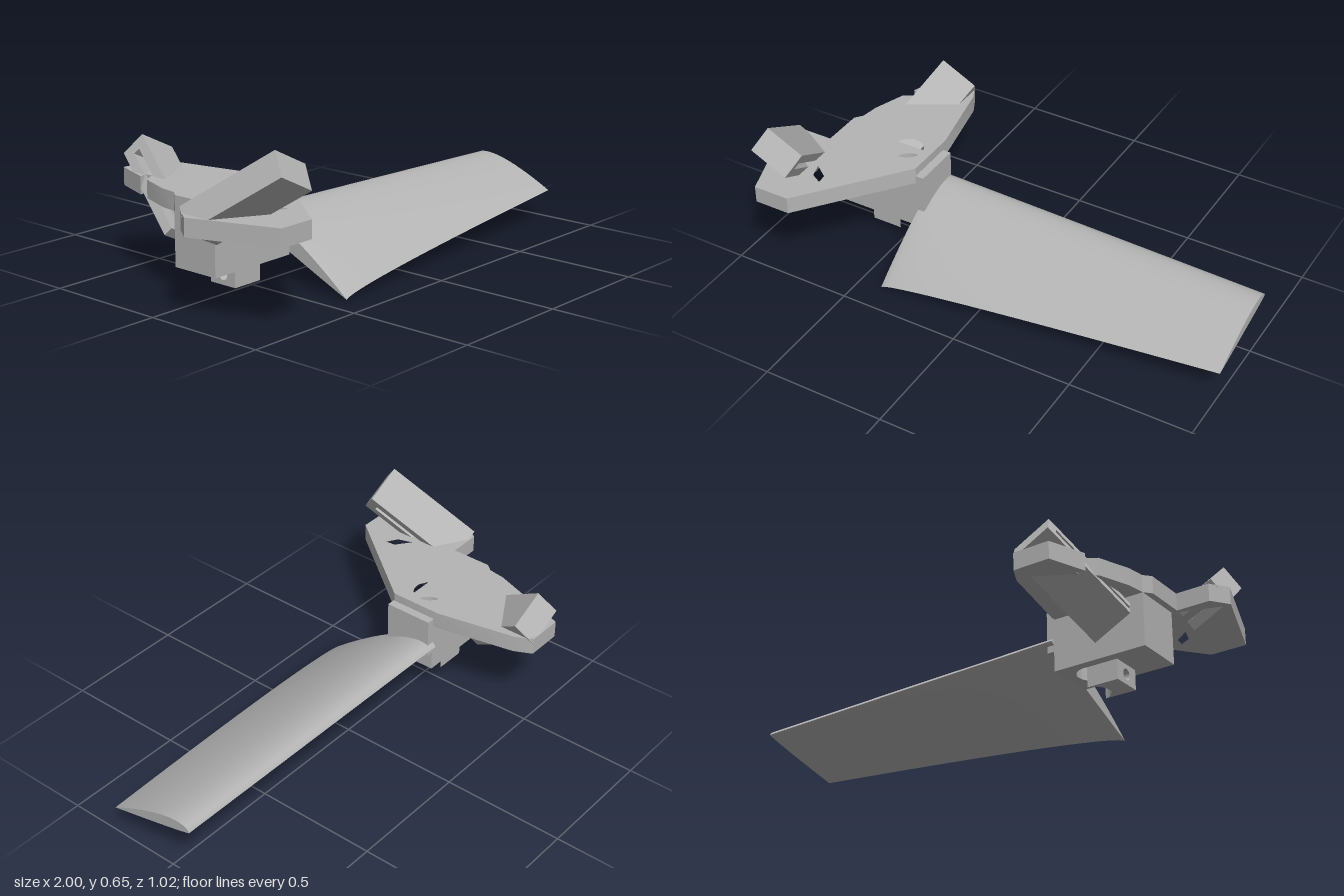
import * as THREE from 'three';
import { toCreasedNormals } from 'three/addons/utils/BufferGeometryUtils.js';

const V = (x, y, z) => new THREE.Vector3(x, y, z);

export function createModel() {
  const model = new THREE.Group();
  const grey = new THREE.MeshStandardMaterial({ color: 0xb4b4b4 });
  grey.name = 'matte grey';

  const add = (name, geometry, parent = model) => {
    const mesh = new THREE.Mesh(toCreasedNormals(geometry, 0.5), grey);
    mesh.name = name;
    parent.add(mesh);
    return mesh;
  };
  const outline = (pts) => new THREE.Shape(pts.map(([x, y]) => new THREE.Vector2(x, y)));
  const roundHole = (x, y, r) => new THREE.Path().absarc(x, y, r, 0, Math.PI * 2, true);
  const extrude = (shape, depth) =>
    new THREE.ExtrudeGeometry(shape, { depth, bevelEnabled: false, curveSegments: 24 });
  // plan shape drawn as (x, -z), raised from y0 to y1
  const slab = (shape, y0, y1) => extrude(shape, y1 - y0).rotateX(-Math.PI / 2).translate(0, y0, 0);
  const plan = (pts) => outline(pts.map(([x, z]) => [x, -z]));

  const boreX = -0.51, boreR = 0.063;

  // mounting plate with bore and clearance slots
  const plate = plan([
    [-0.41, -0.12], [-0.41, 0.1], [-0.73, 0.51], [-0.88, 0.51], [-1, 0.17], [-0.95, 0.1],
    [-0.815, 0.1], [-0.815, -0.07], [-0.79, -0.1], [-0.78, -0.17], [-0.733, -0.303],
    [-0.68, -0.335], [-0.68, -0.365], [-0.713, -0.36], [-0.66, -0.51], [-0.51, -0.51], [-0.475, -0.44],
  ]);
  plate.holes.push(roundHole(boreX, 0, boreR));
  plate.holes.push(plan([[-0.75, 0.275], [-0.69, 0.32], [-0.685, 0.36], [-0.73, 0.335]]));
  add('mountingPlate', slab(plate, 0.33, 0.4));

  // hub block below the plate
  const hub = plan([[-0.79, -0.1], [-0.79, 0.103], [-0.405, 0.103], [-0.405, -0.1]]);
  hub.holes.push(roundHole(boreX, 0, boreR));
  add('hub', slab(hub, 0.12, 0.33));
  add('rootFlange', new THREE.BoxGeometry(0.035, 0.165, 0.203).translate(-0.3925, 0.2825, 0.0015));

  // lug with a cross hole, hollowed by the bore on one side
  const lug = outline([[-0.062, 0.04], [0.062, 0.04], [0.062, 0.12], [-0.062, 0.12]]);
  lug.holes.push(roundHole(0, 0.08, 0.022));
  add('lugBody', extrude(lug, 0.077).rotateY(Math.PI / 2).translate(-0.65, 0, 0));
  for (const side of [-1, 1]) {
    const pts = [[-0.573, side * 0.022], [-0.573, side * 0.062]];
    for (let i = 0; i <= 8; i++) {
      const z = 0.062 - 0.04 * i / 8;
      pts.push([boreX - Math.sqrt(boreR * boreR - z * z), side * z]);
    }
    add('lugCheek', slab(plan(pts), 0.04, 0.12));
  }

  // two tilted bars, each with a groove along one side and a closed upper end
  const w = 0.084, h = 0.0535, g0 = -0.0135, g1 = 0.0145;
  const grooved = outline([
    [-w, -h], [w, -h], [w, g0], [w - 0.1, g0], [w - 0.1, g1], [w, g1], [w, h], [-w, h],
  ]);
  const addBar = (name, corner, side) => {
    const across = V(0.894, -0.447, 0).normalize();
    const zAxis = V(-0.12, -0.23, -0.34 * side).normalize();
    const xAxis = across.clone().multiplyScalar(side);
    const yAxis = zAxis.clone().cross(xAxis).normalize();
    const bar = new THREE.Group();
    bar.name = name;
    bar.quaternion.setFromRotationMatrix(new THREE.Matrix4().makeBasis(xAxis, yAxis, zAxis));
    bar.position.copy(corner).addScaledVector(across, w).addScaledVector(yAxis, h);
    add('barEnd', new THREE.BoxGeometry(2 * w, 2 * h, 0.04).translate(0, 0, 0.02), bar);
    add('barBody', extrude(grooved, 0.388).translate(0, 0, 0.04), bar);
    model.add(bar);
  };
  addBar('frontBar', V(-0.84, 0.65, 0.445), 1);
  addBar('rearBar', V(-0.62, 0.53, -0.445), -1);

  // twisted, tapered blade lofted from flat-bottomed sections
  const spans = 28, half = 20, loop = 2 * half;
  const pos = [], index = [];
  const thickness = (u) =>
    0.12 * 5 * 2 * (0.2969 * Math.sqrt(u) - 0.126 * u - 0.3516 * u ** 2 + 0.2843 * u ** 3 - 0.1036 * u ** 4);
  for (let i = 0; i <= spans; i++) {
    const t = (i / spans) ** 1.5;
    const le = V(0, 0.238 - 0.026 * t, -0.117 + 0.022 * t);
    const te = V(0, 0.005 + 0.113 * t ** 0.6, 0.383 - 0.098 * t ** 1.1);
    const chord = te.clone().sub(le);
    const up = V(0, chord.z, -chord.y);
    for (let j = 0; j <= loop; j++) {
      const u = (1 + Math.cos(Math.PI * j / half)) / 2;
      const lift = thickness(u) * (j <= half ? 0.92 : -0.08);
      const p = le.clone().addScaledVector(chord, u).addScaledVector(up, lift);
      pos.push(-0.405 + 1.405 * t, p.y, p.z);
    }
  }
  const at = (i, j) => i * (loop + 1) + j;
  for (let i = 0; i < spans; i++) {
    for (let j = 0; j < loop; j++) {
      index.push(at(i, j), at(i + 1, j), at(i, j + 1));
      index.push(at(i + 1, j), at(i + 1, j + 1), at(i, j + 1));
    }
  }
  for (let k = 0; k < half; k++) {
    for (const [i, flip] of [[0, true], [spans, false]]) {
      const [a, b, c, d] = [at(i, k), at(i, loop - k), at(i, k + 1), at(i, loop - k - 1)];
      index.push(...(flip ? [a, c, b, c, d, b] : [a, b, c, c, b, d]));
    }
  }
  const blade = new THREE.BufferGeometry();
  blade.setAttribute('position', new THREE.Float32BufferAttribute(pos, 3));
  blade.setIndex(index);
  add('blade', blade);

  return model;
}
